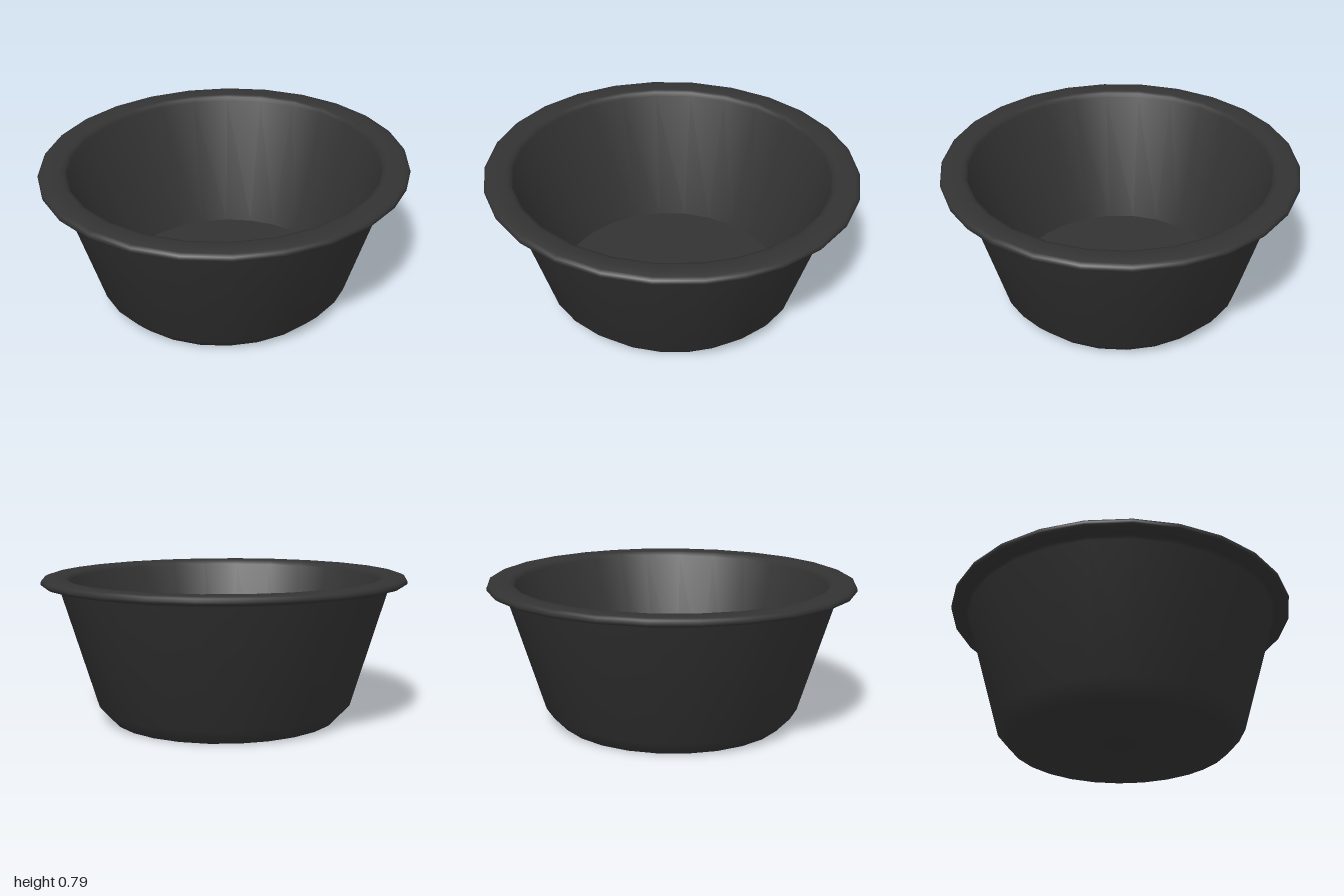
import * as THREE from 'three';
import { toCreasedNormals } from 'three/addons/utils/BufferGeometryUtils.js';

const SIDES = 26;
const DEPTH = 0.955; // the bowl is slightly narrower front to back

// Angle of each side: even steps with two shorter ones
function sideAngle(i) {
  const short = Math.min(Math.max(i - 21, 0), 2);
  return THREE.MathUtils.degToRad(i * 14.05 - short * 2.65);
}

export function createModel() {
  const group = new THREE.Group();
  group.name = 'bowl';

  // Closed section: underside, outer wall, rolled rim, inner wall, floor
  const profile = [
    [0, 0], [0.63, 0], [0.705, 0.08], [0.9, 0.725], [0.908, 0.738], [0.925, 0.744],
    [0.985, 0.745], [0.998, 0.753], [1, 0.765], [0.994, 0.778], [0.975, 0.786],
    [0.93, 0.789], [0.88, 0.785], [0.858, 0.778], [0.848, 0.76],
    [0.63, 0.04], [0, 0.04],
  ].map(([r, y]) => new THREE.Vector2(r, y));

  const lathe = new THREE.LatheGeometry(profile, SIDES);
  const pos = lathe.attributes.position;
  for (let i = 0; i <= SIDES; i++) {
    const a = i === SIDES ? 0 : sideAngle(i);
    profile.forEach((p, j) => {
      pos.setXYZ(i * profile.length + j, p.x * Math.cos(a), p.y, -p.x * Math.sin(a) * DEPTH);
    });
  }

  const material = new THREE.MeshStandardMaterial({ color: 0x333333 });
  const body = new THREE.Mesh(toCreasedNormals(lathe, THREE.MathUtils.degToRad(52)), material);
  body.name = 'bowlBody';
  group.add(body);
  return group;
}
